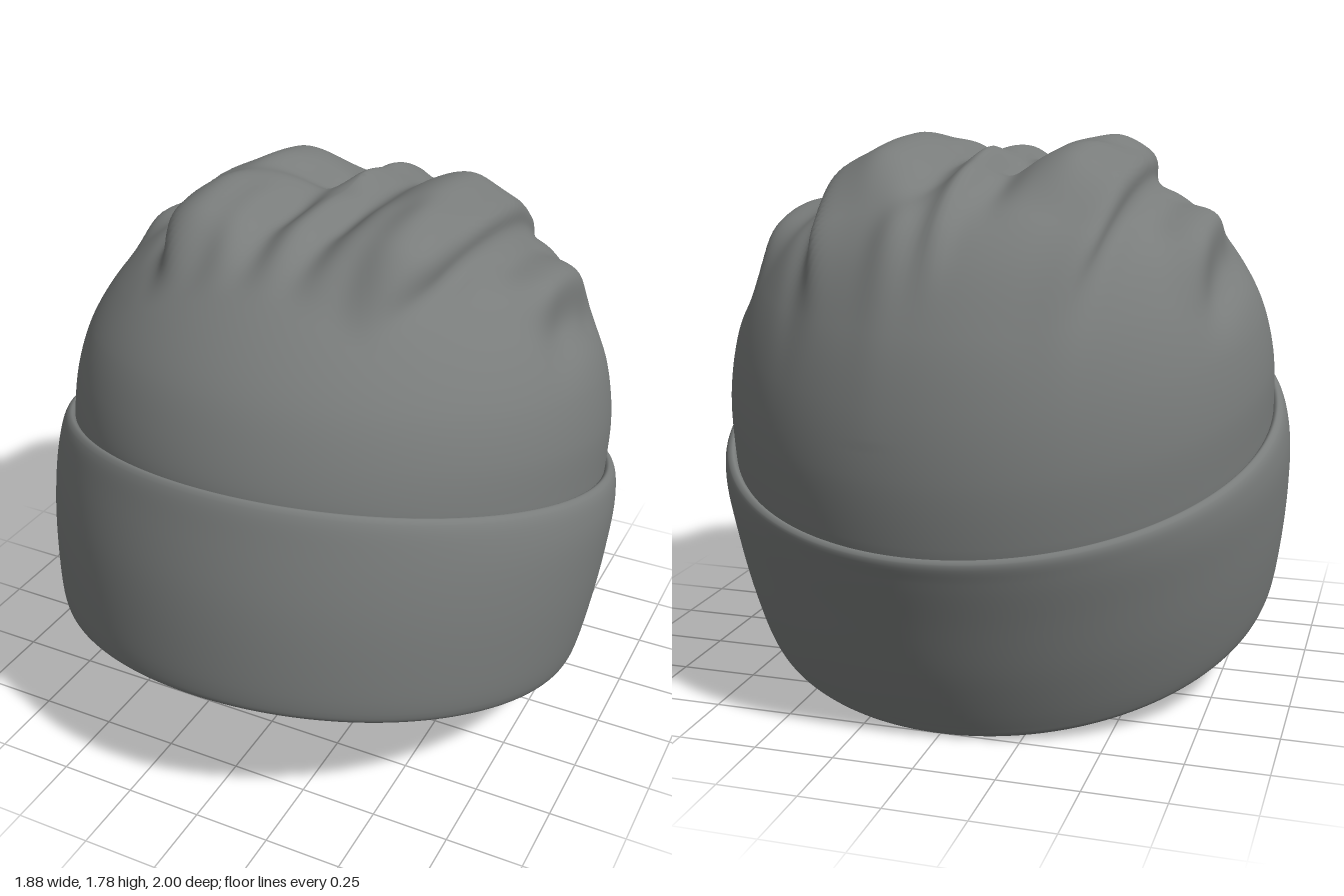
import * as THREE from 'three';
import { mergeVertices } from 'three/addons/utils/BufferGeometryUtils.js';

const SIDES = 192;
const gauss = (d, s) => Math.exp(-(d * d) / (s * s));
const step = THREE.MathUtils.smoothstep;
// 1 between a and b, fading to 0 over distance f outside
const band = (v, a, b, f) => step(v, a - f, a) * (1 - step(v, b, b + f));

// Each level is a tilted oval ring: [half width, front z, front y, back z, back y]
function loft(levels, rings, shape = () => {}) {
  const front = new THREE.CatmullRomCurve3(levels.map(l => new THREE.Vector3(l[0], l[2], l[1])));
  const back = new THREE.CatmullRomCurve3(levels.map(l => new THREE.Vector3(0, l[4], l[3])));
  const positions = [], index = [];
  const p = new THREE.Vector3();
  for (let i = 0; i <= rings; i++) {
    const f = front.getPoint(i / rings), b = back.getPoint(i / rings);
    for (let j = 0; j < SIDES; j++) {
      const a = (j / SIDES) * Math.PI * 2, k = (1 + Math.cos(a)) / 2;
      p.set(f.x * Math.sin(a), b.y + (f.y - b.y) * k, b.z + (f.z - b.z) * k);
      shape(p);
      positions.push(p.x, p.y, p.z);
      if (i < rings) {
        const n = (j + 1) % SIDES, r = i * SIDES, s = r + SIDES;
        index.push(r + j, r + n, s + n, r + j, s + n, s + j);
      }
    }
  }
  let g = new THREE.BufferGeometry();
  g.setAttribute('position', new THREE.Float32BufferAttribute(positions, 3));
  g.setIndex(index);
  g = mergeVertices(g, 1e-5);
  g.computeVertexNormals();
  return g;
}

// Gathered cloth: a raised centre with overhanging edges, and smaller pleats beside it
function gather(p) {
  if (p.y < 0.95) return;
  const { x, z } = p, ax = Math.abs(x), side = Math.sign(x);
  const edge = 0.44 - 0.17 * (z + 0.2) ** 2;
  const along = band(z, -0.6, 0.22, 0.28);
  const top = band(z, -0.34, 0.26, 0.28);
  let lift = 0.025 * along * (1 - step(ax, edge - 0.05, edge + 0.02));
  // broad ridges, with hollows on both sides of the middle
  lift += 0.07 * top * gauss(ax - 0.29, 0.11);
  lift -= 0.035 * band(z, -0.45, 0.15, 0.3) * gauss(ax - 0.11, 0.06);
  lift -= 0.012 * along * gauss(ax - edge - 0.06, 0.04);
  // middle crest, strongest towards the back
  lift += 0.025 * band(z, -0.7, -0.25, 0.2) * gauss(x, 0.04);
  // slanting hollow on one side and a short fold on the other
  lift -= 0.035 * gauss(x + 0.16 + 0.8 * (z + 0.2), 0.07) * gauss(z + 0.2, 0.16);
  lift += 0.025 * gauss(x - 0.13, 0.06) * gauss(z + 0.72, 0.14);
  // fine ripples running down the front
  lift += 0.01 * Math.cos(ax * 38) * band(z, 0.1, 0.35, 0.2) * (1 - step(ax, 0.3, 0.5));
  // outer pleats
  const outer = band(z, -0.3, -0.08, 0.25) * step(p.y, 1.15, 1.35);
  lift += outer * (0.03 * gauss(ax - 0.66, 0.06) - 0.03 * gauss(ax - 0.75, 0.05));
  lift -= 0.02 * outer * gauss(ax - 0.56, 0.05);
  const dir = new THREE.Vector3(x * 0.8, p.y - 0.8, (z + 0.1) * 0.8).normalize();
  p.addScaledVector(dir, lift);
  // lean the raised edges outwards over their grooves
  p.x += side * (0.045 * along * gauss(ax - edge + 0.03, 0.05) + 0.02 * outer * gauss(ax - 0.66, 0.05));
}

// Dome levels from the cuff up to the top
const DOME = [
  [0.885, 0.865, 1.07, -0.965, 0.58],
  [0.888, 0.86, 1.14, -0.98, 0.66],
  [0.885, 0.82, 1.26, -0.992, 0.85],
  [0.85, 0.755, 1.38, -0.97, 1.05],
  [0.77, 0.645, 1.50, -0.91, 1.25],
  [0.64, 0.49, 1.61, -0.80, 1.44],
  [0.47, 0.30, 1.685, -0.62, 1.58],
  [0.24, 0.06, 1.705, -0.41, 1.665],
  [0, -0.18, 1.705, -0.18, 1.705],
];

// Moves a level inwards by the thickness of the cloth
const inset = l => {
  const z = v => -0.05 + (v + 0.05) * 0.965, y = v => 0.8 + (v - 0.8) * 0.965;
  return [l[0] * 0.965, z(l[1]), y(l[2]), z(l[3]), y(l[4])];
};

export function createModel() {
  const wool = new THREE.MeshStandardMaterial({ color: 0x797c7b });
  wool.name = 'grey wool';
  const hat = new THREE.Group();
  hat.name = 'knitHat';
  const add = (name, geometry) => {
    const mesh = new THREE.Mesh(geometry, wool);
    mesh.name = name;
    hat.add(mesh);
  };

  // Folded cuff, from the inner lip round the outside to the tucked top rim
  const innerLip = [0.815, 0.915, 0.60, -0.745, 0.14];
  add('cuff', loft([
    innerLip,
    [0.812, 0.918, 0.53, -0.712, 0.055],
    [0.84, 0.955, 0.468, -0.73, 0.004],
    [0.872, 0.992, 0.482, -0.765, 0.008],
    [0.89, 1.0, 0.52, -0.785, 0.04],
    [0.92, 0.992, 0.68, -0.865, 0.22],
    [0.938, 0.968, 0.85, -0.935, 0.42],
    [0.94, 0.925, 1.02, -0.983, 0.56],
    [0.92, 0.89, 1.125, -1.0, 0.622],
    [0.90, 0.873, 1.14, -0.988, 0.635],
    [0.882, 0.857, 1.12, -0.968, 0.615],
    [0.87, 0.85, 1.05, -0.95, 0.55],
  ], 66));

  // Domed crown
  add('crown', loft(DOME, 112, gather));

  // Inside surface, from the top of the cavity down to the opening
  add('lining', loft([
    ...DOME.map(inset).reverse(),
    [0.845, 0.88, 0.82, -0.87, 0.36],
    innerLip,
  ], 110, gather));

  return hat;
}
